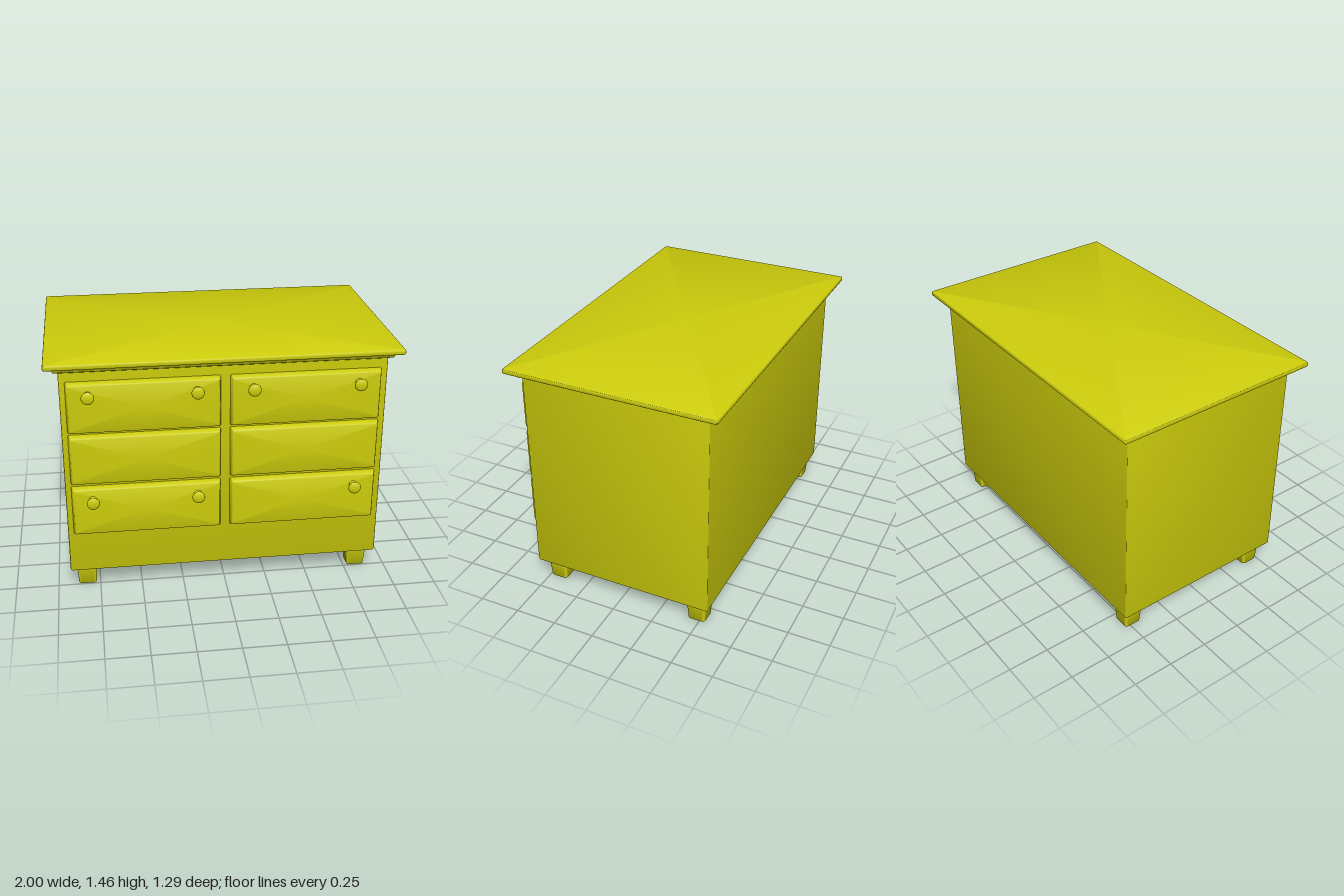
import * as THREE from 'three';
import { toCreasedNormals } from 'three/addons/utils/BufferGeometryUtils.js';

const material = new THREE.MeshStandardMaterial({ color: 0xcccc0c });

// Stacks rounded rectangles along y; profile holds [inset, y] pairs from bottom to top.
function loft(width, depth, radius, profile, arc = 4) {
  const positions = [], index = [], n = 4 * (arc + 1);
  for (const [inset, y] of profile) {
    for (let c = 0; c < 4; c++) {
      const sx = c === 0 || c === 3 ? 1 : -1, sz = c < 2 ? 1 : -1;
      for (let k = 0; k <= arc; k++) {
        const a = (c + k / arc) * Math.PI / 2;
        positions.push(
          sx * (width / 2 - inset - radius) + radius * Math.cos(a), y,
          sz * (depth / 2 - inset - radius) + radius * Math.sin(a));
      }
    }
  }
  const rings = profile.length, bottom = rings * n, top = bottom + 1;
  positions.push(0, profile[0][1], 0, 0, profile[rings - 1][1], 0);
  for (let i = 0; i < n; i++) {
    const j = (i + 1) % n;
    for (let r = 0; r < rings - 1; r++) {
      const a = r * n + i, b = r * n + j;
      index.push(a, a + n, b + n, a, b + n, b);
    }
    index.push(bottom, i, j, top, (rings - 1) * n + j, (rings - 1) * n + i);
  }
  const geometry = new THREE.BufferGeometry();
  geometry.setAttribute('position', new THREE.Float32BufferAttribute(positions, 3));
  geometry.setIndex(index);
  return toCreasedNormals(geometry, 0.65);
}

export function createModel() {
  const model = new THREE.Group();
  model.name = 'dresser';
  const add = (name, geometry, x, y, z, tilt = 0) => {
    const mesh = new THREE.Mesh(geometry, material);
    mesh.name = name;
    mesh.position.set(x, y, z);
    mesh.rotation.x = tilt;
    model.add(mesh);
  };

  // Cabinet with softened edges
  add('cabinet', loft(1.845, 1.12, 0.008,
    [[0.009, 0.126], [0.003, 0.129], [0, 0.136], [0, 1.4]]), 0, 0, -0.01);

  // Table top with stepped moulding underneath
  add('top', loft(2, 1.266, 0.006, [
    [0.068, 1.386], [0.062, 1.393], [0.051, 1.394], [0.048, 1.404], [0.044, 1.408],
    [0.042, 1.416], [0.01, 1.423], [0.003, 1.426], [0, 1.432], [0, 1.447],
    [0.002, 1.452], [0.007, 1.455]]), 0, 0, -0.011);

  // Tapered feet
  const foot = loft(0.122, 0.122, 0.018, [[0.01, 0], [0.008, 0.003], [0, 0.13]]);
  for (const side of [-1, 1]) {
    add('frontFoot', foot, side * 0.826, 0, 0.442);
    add('backFoot', foot, side * 0.826, 0, -0.48);
  }

  // Drawer fronts with a rounded lip: two columns of three
  const drawer = loft(0.86, 0.304, 0.006,
    [[0, -0.01], [0, 0.004], [0.003, 0.018], [0.007, 0.03], [0.011, 0.037], [0.017, 0.04]]);
  for (const x of [-0.459, 0.455]) {
    for (const y of [1.179, 0.861, 0.538]) add('drawerFront', drawer, x, y, 0.55, Math.PI / 2);
  }

  // Turned knobs
  const profile = [[0.024, -0.004], [0.024, 0.003], [0.018, 0.009], [0.015, 0.018],
    [0.016, 0.028], [0.026, 0.031], [0.034, 0.036], [0.037, 0.042], [0.035, 0.049],
    [0.027, 0.054], [0.015, 0.057], [0, 0.058]];
  const knob = new THREE.LatheGeometry(profile.map(([r, y]) => new THREE.Vector2(r, y)), 32);
  const knobs = [[-0.768, 1.262], [-0.165, 1.262], [0.15, 1.262], [0.752, 1.262],
    [-0.768, 0.615], [-0.165, 0.615], [0.752, 0.615]];
  for (const [x, y] of knobs) add('knob', knob, x, y, 0.589, Math.PI / 2);

  return model;
}
